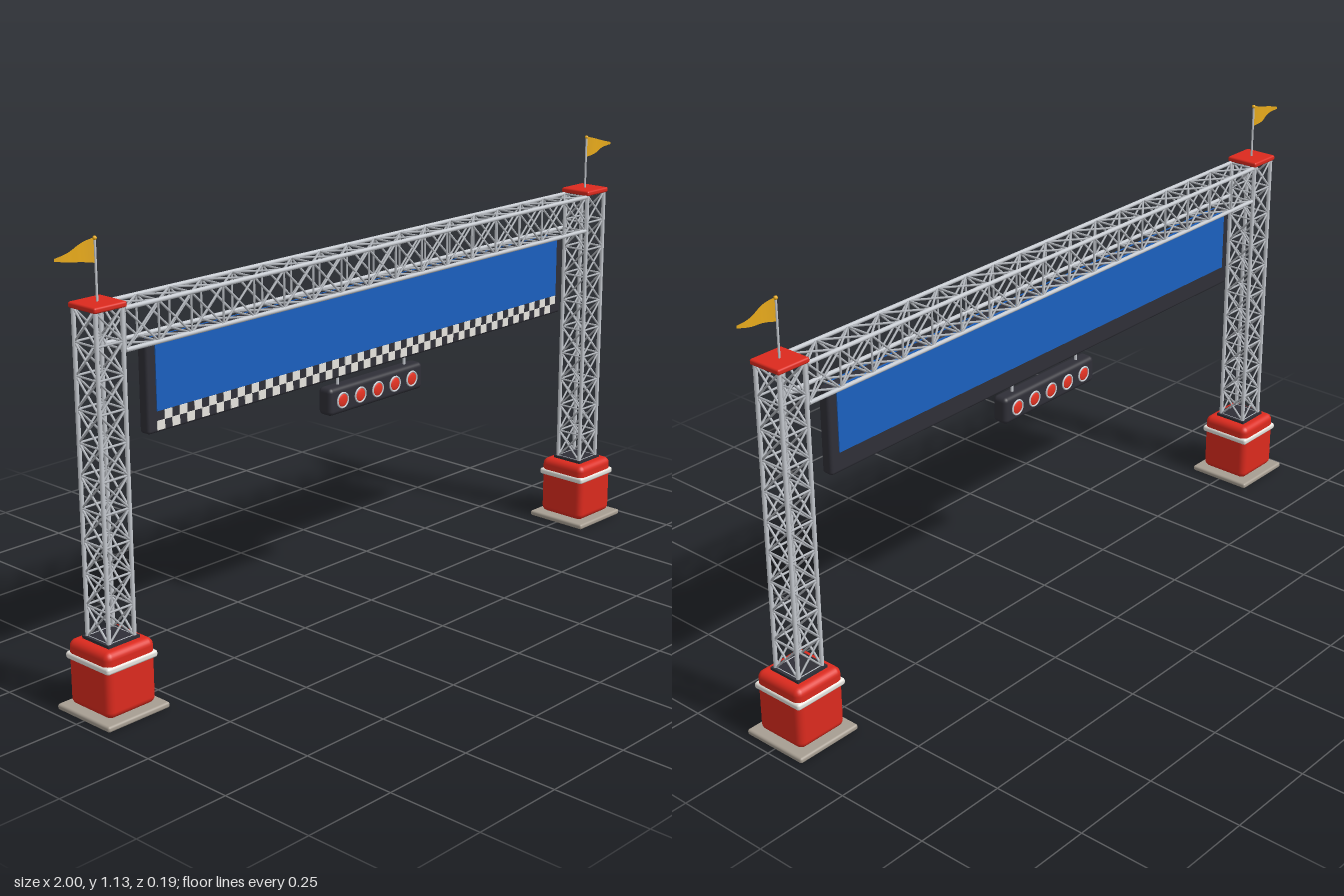
import * as THREE from 'three';
import { mergeGeometries } from 'three/addons/utils/BufferGeometryUtils.js';
import { RoundedBoxGeometry } from 'three/addons/geometries/RoundedBoxGeometry.js';

const V = (x, y, z) => new THREE.Vector3(x, y, z);
const paint = (name, color) => Object.assign(new THREE.MeshStandardMaterial({ color }), { name });

// Round bar between two points
function bar(a, b, r, sides = 6) {
  const d = b.clone().sub(a);
  const g = new THREE.CylinderGeometry(r, r, d.length(), sides);
  g.applyQuaternion(new THREE.Quaternion().setFromUnitVectors(V(0, 1, 0), d.normalize()));
  return g.translate((a.x + b.x) / 2, (a.y + b.y) / 2, (a.z + b.z) / 2);
}

// Square lattice truss along y: four chords, with rungs and crossed braces on each face
function truss(length, halfA, halfB, cells, chordR, braceR) {
  const corners = [[-halfA, -halfB], [halfA, -halfB], [halfA, halfB], [-halfA, halfB]];
  const at = (i, y) => V(corners[i % 4][0], y, corners[i % 4][1]);
  const chords = [], braces = [], step = length / cells;
  for (let f = 0; f < 4; f++) {
    chords.push(bar(at(f, 0), at(f, length), chordR, 10));
    for (let c = 0; c <= cells; c++) {
      const y = c * step;
      braces.push(bar(at(f, y), at(f + 1, y), braceR));
      if (c === cells) continue;
      braces.push(bar(at(f, y), at(f + 1, y + step), braceR));
      braces.push(bar(at(f + 1, y), at(f, y + step), braceR));
    }
  }
  return { chords: mergeGeometries(chords), braces: mergeGeometries(braces) };
}

// Waving triangular pennant pointing to +x from the pole
function pennantGeometry() {
  const g = new THREE.PlaneGeometry(1, 1, 12, 2);
  const p = g.attributes.position;
  for (let i = 0; i < p.count; i++) {
    const t = p.getX(i) + 0.5;
    const half = THREE.MathUtils.lerp(0.029, 0.003, t);
    p.setXYZ(i, t * 0.114, 1.098 - 0.004 * t + p.getY(i) * 2 * half, 0.006 * Math.sin(t * Math.PI * 2));
  }
  g.computeVertexNormals();
  return g;
}

export function createModel() {
  const model = new THREE.Group();
  model.name = 'startGantry';

  const red = paint('red', 0xdc2a1e);
  const white = paint('white', 0xf2f0ea);
  const steel = paint('steel', 0xc6cad0);
  const braceSteel = paint('braceSteel', 0xb4b8be);
  const dark = paint('dark', 0x2f2f37);
  const blue = paint('blue', 0x1b60bf);
  const gold = paint('gold', 0xeaac1c);
  gold.side = THREE.DoubleSide;
  const concrete = paint('concrete', 0xa79e92);
  const lensRed = paint('lensRed', 0xff3a28);

  const add = (parent, name, geo, mat, x = 0, y = 0, z = 0) => {
    const m = new THREE.Mesh(geo, mat);
    m.name = name;
    m.position.set(x, y, z);
    parent.add(m);
    return m;
  };
  const rounded = (w, h, d, r) => new RoundedBoxGeometry(w, h, d, 3, r);

  // Towers with weighted bases, caps and pennants
  const tower = truss(0.785, 0.038, 0.038, 10, 0.0055, 0.0028);
  for (const side of [-1, 1]) {
    const g = new THREE.Group();
    g.name = side > 0 ? 'leftTower' : 'rightTower';
    g.position.x = side * 0.887;
    model.add(g);
    add(g, 'footPlate', rounded(0.187, 0.015, 0.187, 0.006), concrete, 0, 0.0075);
    add(g, 'baseBlock', rounded(0.146, 0.165, 0.146, 0.018), red, 0, 0.0975);
    add(g, 'baseBand', rounded(0.153, 0.018, 0.153, 0.007), white, 0, 0.139);
    add(g, 'mountPlate', new THREE.BoxGeometry(0.094, 0.008, 0.094), dark, 0, 0.183);
    add(g, 'towerLegs', tower.chords, steel, 0, 0.185);
    add(g, 'towerBraces', tower.braces, braceSteel, 0, 0.185);
    add(g, 'towerCap', rounded(0.094, 0.014, 0.094, 0.005), red, 0, 0.976);
    add(g, 'flagPole', new THREE.CylinderGeometry(0.0028, 0.0028, 0.145, 8), steel, 0, 1.052);
    add(g, 'poleTip', new THREE.SphereGeometry(0.005, 12, 8), gold, 0, 1.125);
    const flag = add(g, 'pennant', pennantGeometry(), gold);
    if (side < 0) flag.rotation.y = Math.PI;
  }

  // Overhead lattice beam
  const beam = truss(1.685, 0.048, 0.038, 17, 0.0055, 0.0028);
  for (const [name, geo, mat] of [['beamChords', beam.chords, steel], ['beamBraces', beam.braces, braceSteel]]) {
    add(model, name, geo, mat, 0.8425, 0.9175).rotation.z = Math.PI / 2;
  }

  // Banner board with a blue face on both sides
  add(model, 'bannerFrame', rounded(1.532, 0.221, 0.032, 0.008), dark, 0, 0.7565);
  for (const side of [-1, 1]) {
    add(model, side > 0 ? 'bannerFront' : 'bannerBack',
      new THREE.BoxGeometry(1.48, 0.167, 0.004), blue, 0, 0.7825, side * 0.0165);
  }

  // Chequered strip along the front: white squares over the dark board
  const squares = [], columns = 64, size = 1.48 / columns;
  for (let c = 0; c < columns; c++) {
    const s = new THREE.BoxGeometry(size, 0.0225, 0.003);
    squares.push(s.translate(-0.74 + (c + 0.5) * size, 0.664 + (c % 2) * 0.0225, 0.0165));
  }
  add(model, 'chequerSquares', mergeGeometries(squares), white);

  // Start light bar hung under the banner, with lamps on both sides
  const lights = new THREE.Group();
  lights.name = 'startLights';
  lights.position.y = 0.589;
  model.add(lights);
  add(lights, 'lightHousing', rounded(0.35, 0.072, 0.044, 0.012), dark);
  for (const x of [-0.125, 0.125]) {
    add(lights, 'hanger', new THREE.CylinderGeometry(0.004, 0.004, 0.04, 8), steel, x, 0.048);
  }
  const lens = new THREE.SphereGeometry(0.0175, 20, 8, 0, Math.PI * 2, 0, Math.PI / 2)
    .scale(1, 0.25, 1).rotateX(Math.PI / 2);
  const ring = new THREE.TorusGeometry(0.019, 0.0025, 8, 24);
  for (const side of [-1, 1]) {
    for (let i = -2; i <= 2; i++) {
      const lamp = new THREE.Group();
      lamp.name = 'lamp';
      lamp.position.set(i * 0.065, 0, side * 0.022);
      if (side < 0) lamp.rotation.y = Math.PI;
      lights.add(lamp);
      add(lamp, 'lampLens', lens, lensRed);
      add(lamp, 'lampRing', ring, steel, 0, 0, 0.001);
    }
  }

  return model;
}
